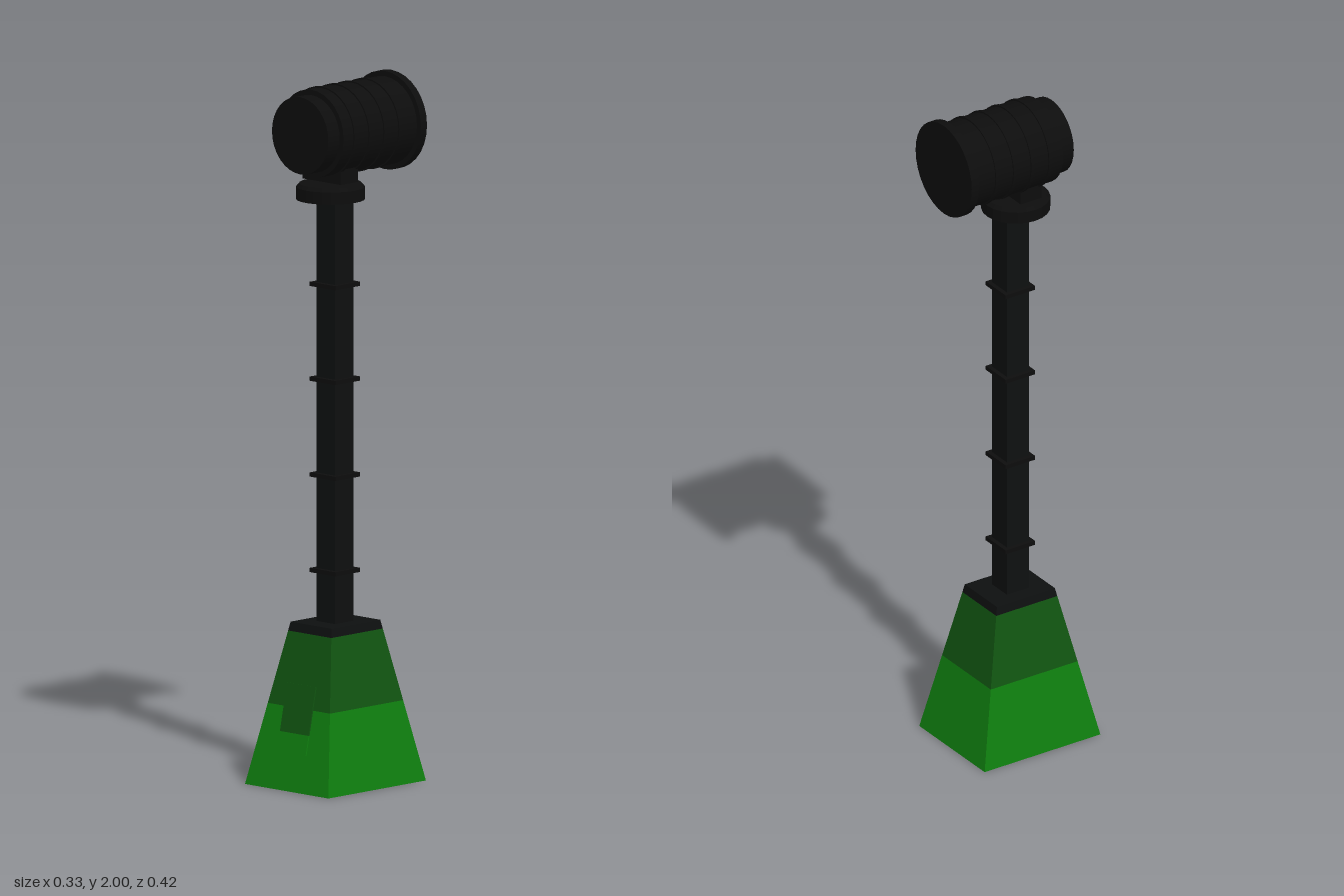
import * as THREE from 'three';

const mat = (name, color) => {
  const m = new THREE.MeshStandardMaterial({ color });
  m.name = name;
  return m;
};

export function createModel() {
  const model = new THREE.Group();
  const lightGreen = mat('light green', 0x0f800f);
  const darkGreen = mat('dark green', 0x115511);
  const black = mat('black', 0x0d0d0d);
  const poleBlack = mat('pole black', 0x0e1010);
  const CZ = 0.014; // centre of base and pole

  const add = (name, geo, material, x = 0, y = 0, z = 0, parent = model) => {
    const mesh = new THREE.Mesh(geo, material);
    mesh.name = name;
    mesh.position.set(x, y, z);
    parent.add(mesh);
    return mesh;
  };

  // Tapered base: half width and half depth shrink with height
  const halfX = (y) => 0.163 - (0.083 * y) / 0.46;
  const halfZ = (y) => 0.196 - (0.098 * y) / 0.46;
  const taper = (y0, y1) => {
    const geo = new THREE.BoxGeometry(2, y1 - y0, 2);
    geo.translate(0, (y0 + y1) / 2, 0);
    const p = geo.attributes.position;
    for (let i = 0; i < p.count; i++) {
      const y = p.getY(i);
      p.setXYZ(i, p.getX(i) * halfX(y), y, p.getZ(i) * halfZ(y));
    }
    geo.computeVertexNormals();
    return geo;
  };
  add('lowerBase', taper(0, 0.23), lightGreen, 0, 0, CZ);
  add('upperBase', taper(0.23, 0.435), darkGreen, 0, 0, CZ);
  add('baseCap', taper(0.435, 0.46), poleBlack, 0, 0, CZ);

  // Sloped two-colour door plate on the front
  const slope = Math.atan(0.098 / 0.46);
  const doorPlate = (name, y0, y1, material) => {
    const y = (y0 + y1) / 2;
    const geo = new THREE.BoxGeometry(0.112, (y1 - y0) / Math.cos(slope), 0.006);
    add(name, geo, material, 0, y, CZ + halfZ(y) + 0.001).rotation.x = -slope;
  };
  doorPlate('doorLower', 0.105, 0.16, lightGreen);
  doorPlate('doorUpper', 0.16, 0.295, darkGreen);

  // Square pole with thin square bands
  add('pole', new THREE.BoxGeometry(0.074, 1.215, 0.074), poleBlack, 0, 1.0625, CZ + 0.002);
  for (const y of [0.605, 0.877, 1.15, 1.42]) {
    add('poleBand', new THREE.BoxGeometry(0.1, 0.012, 0.1), black, 0, y, CZ + 0.002);
  }

  // Round collar with a chamfered rim
  const collar = [[0, 1.665], [0.097, 1.665], [0.097, 1.7], [0.088, 1.71], [0, 1.71]]
    .map(([r, y]) => new THREE.Vector2(r, y));
  const collarGeo = new THREE.LatheGeometry(collar, 24).toNonIndexed();
  collarGeo.computeVertexNormals();
  add('collar', collarGeo, black, 0, 0, 0.034);

  // Lamp head: cylinders lying along z
  const head = new THREE.Group();
  head.name = 'lampHead';
  head.position.y = 1.86;
  model.add(head);
  const drum = (name, r, z0, z1) => {
    const geo = new THREE.CylinderGeometry(r, r, z1 - z0, 32).rotateX(Math.PI / 2);
    add(name, geo, black, 0, 0, (z0 + z1) / 2, head);
  };
  drum('rearFlange', 0.14, -0.21, -0.185);
  drum('housing', 0.125, -0.185, 0.11);
  drum('frontLens', 0.11, 0.11, 0.156);
  for (const z of [-0.115, -0.055, 0.005, 0.065]) drum('housingBand', 0.129, z - 0.005, z + 0.005);

  // Mounting block under the head
  add('mount', new THREE.BoxGeometry(0.15, 0.06, 0.07), black, 0, 1.748, 0.035);

  return model;
}
